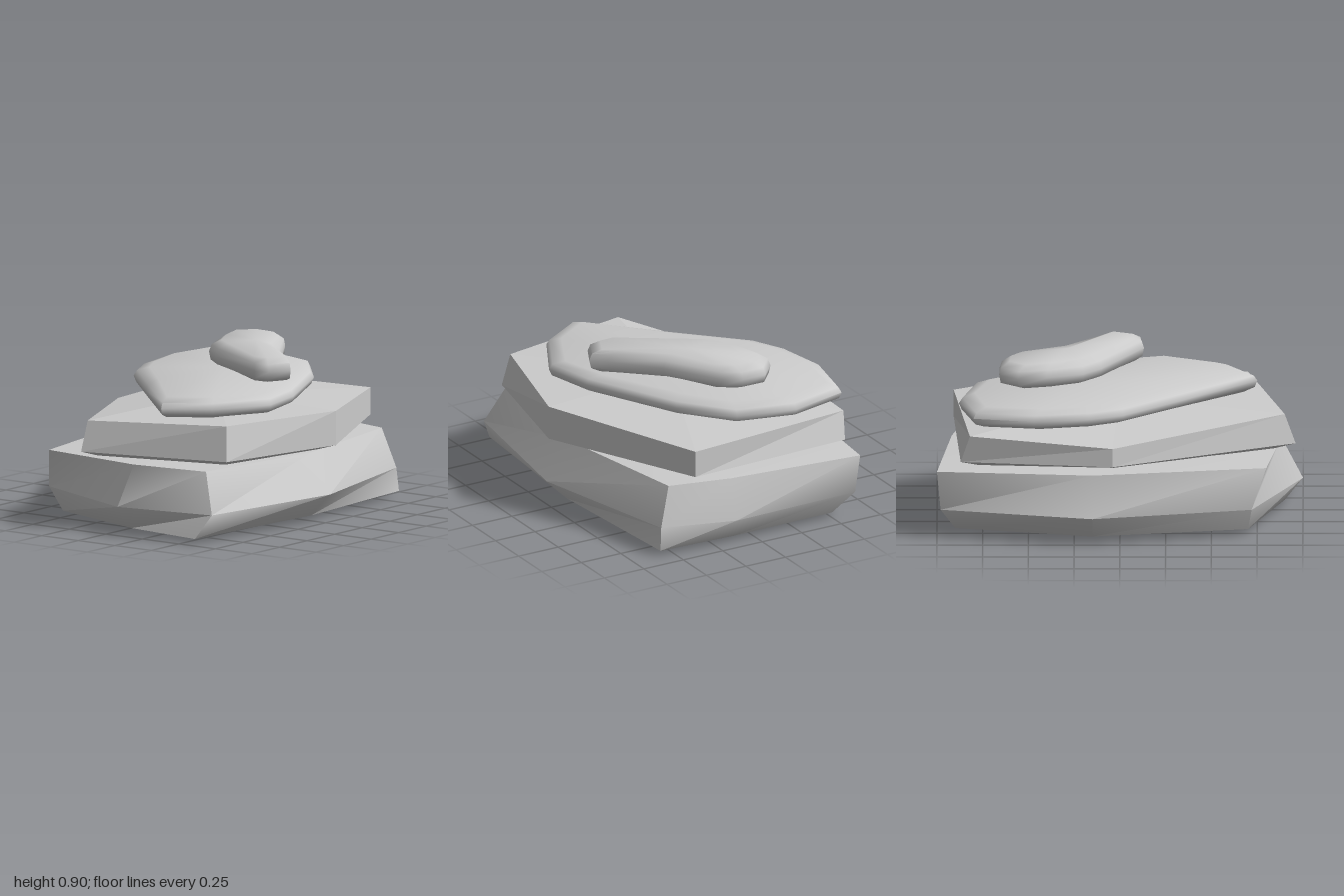
import * as THREE from 'three';
import { toCreasedNormals } from 'three/addons/utils/BufferGeometryUtils.js';

// Skins stacked rings of [x, y, z] (bottom to top, counterclockwise from above),
// closing both ends onto a centre point.
function makeStone(name, rings, bottom, top, crease) {
  const n = rings[0].length;
  const points = [...rings.flat(), bottom, top];
  const low = points.length - 2, high = points.length - 1;
  const last = (rings.length - 1) * n;
  const index = [];
  for (let i = 0; i < n; i++) {
    const j = (i + 1) % n;
    for (let r = 0; r < last; r += n) {
      index.push(r + i, r + j, r + n + j, r + i, r + n + j, r + n + i);
    }
    index.push(j, i, low, last + i, last + j, high);
  }
  let geometry = new THREE.BufferGeometry();
  geometry.setAttribute('position', new THREE.Float32BufferAttribute(points.flat(), 3));
  geometry.setIndex(index);
  if (crease > 0) geometry = toCreasedNormals(geometry, crease);
  const material = new THREE.MeshStandardMaterial({ color: 0xcccccc, flatShading: crease === 0 });
  const mesh = new THREE.Mesh(geometry, material);
  mesh.name = name;
  return mesh;
}

// An outline of [x, z] at one height
const level = (outline, y) => outline.map(([x, z]) => [x, y, z]);

// Moves an outline in towards its middle by a fixed distance
function inset(outline, distance, [cx, cz]) {
  return outline.map(([x, z]) => {
    const dx = x - cx, dz = z - cz;
    const k = 1 - distance / Math.hypot(dx, dz);
    return [cx + dx * k, cz + dz * k];
  });
}

// Thin pebble: [inset, height] pairs turn one outline into a rounded edge
function makePebble(name, outline, middle, profile, bottomY, topY) {
  const rings = profile.map(([d, y]) => level(inset(outline, d, middle), y));
  const [x, z] = middle;
  return makeStone(name, rings, [x, bottomY, z], [x, topY, z], 1.2);
}

export function createModel() {
  const group = new THREE.Group();
  group.name = 'stackedStones';

  // Large base boulder, widest low down
  const baseBottom = [[-0.9, 0.1], [-0.96, 0.58], [0, 0.65], [0.89, 0.58],
    [0.91, 0.12], [0.9, -0.5], [0.15, -0.68], [-0.7, -0.52]];
  const baseMiddle = [[-1, 0.08], [-0.9, 0.65], [0, 0.78], [0.88, 0.57],
    [1, 0.16], [0.98, -0.6], [0.15, -0.8], [-0.72, -0.6]];
  const baseTop = [[-0.88, 0.1], [-0.82, 0.55], [0, 0.65], [0.84, 0.5],
    [0.92, 0.15], [1, -0.62], [0.15, -0.7], [-0.8, -0.54]];
  group.add(makeStone('baseStone',
    [level(baseBottom, 0.03), level(baseMiddle, 0.16), level(baseTop, 0.38)],
    [0.05, 0, 0], [0, 0.43, 0], 0.95));

  // Angular slab with a sloping top and a tapered underside
  const slab = [[-0.96, -0.2], [-0.74, 0.63], [0.04, 0.79], [0.91, 0.37], [0.87, -0.6], [0.04, -0.71]];
  const slabTop = [[-0.9, 0.595, -0.2], [-0.7, 0.62, 0.6], [0.04, 0.62, 0.79],
    [0.91, 0.58, 0.37], [0.82, 0.58, -0.62], [0.04, 0.53, -0.7]];
  group.add(makeStone('slabStone',
    [level(inset(slab, 0.12, [0, 0]), 0.395), level(slab, 0.43), slabTop],
    [0, 0.39, 0], [0, 0.645, 0], 0));

  // Broad flat stone
  const flat = [[-0.75, 0.19], [-0.6, 0.43], [-0.29, 0.595], [0, 0.53], [0.53, 0.27], [0.8, 0.04],
    [0.88, -0.29], [0.8, -0.62], [0.47, -0.69], [0.17, -0.64], [-0.02, -0.55], [-0.35, -0.22]];
  group.add(makePebble('flatStone', flat, [0.18, -0.08],
    [[0.08, 0.622], [0.015, 0.645], [0, 0.68], [0.02, 0.71], [0.09, 0.732]], 0.62, 0.75));

  // Small elongated stone on top
  const small = [[-0.13, 0.36], [-0.12, 0.45], [0, 0.51], [0.07, 0.43], [0.3, 0.22], [0.6, 0.02],
    [0.66, -0.08], [0.66, -0.22], [0.56, -0.31], [0.4, -0.28], [0.2, -0.2], [0.1, -0.08]];
  group.add(makePebble('topStone', small, [0.29, 0.05],
    [[0.06, 0.757], [0.01, 0.775], [0, 0.82], [0.015, 0.86], [0.07, 0.888]], 0.75, 0.9));

  return group;
}
